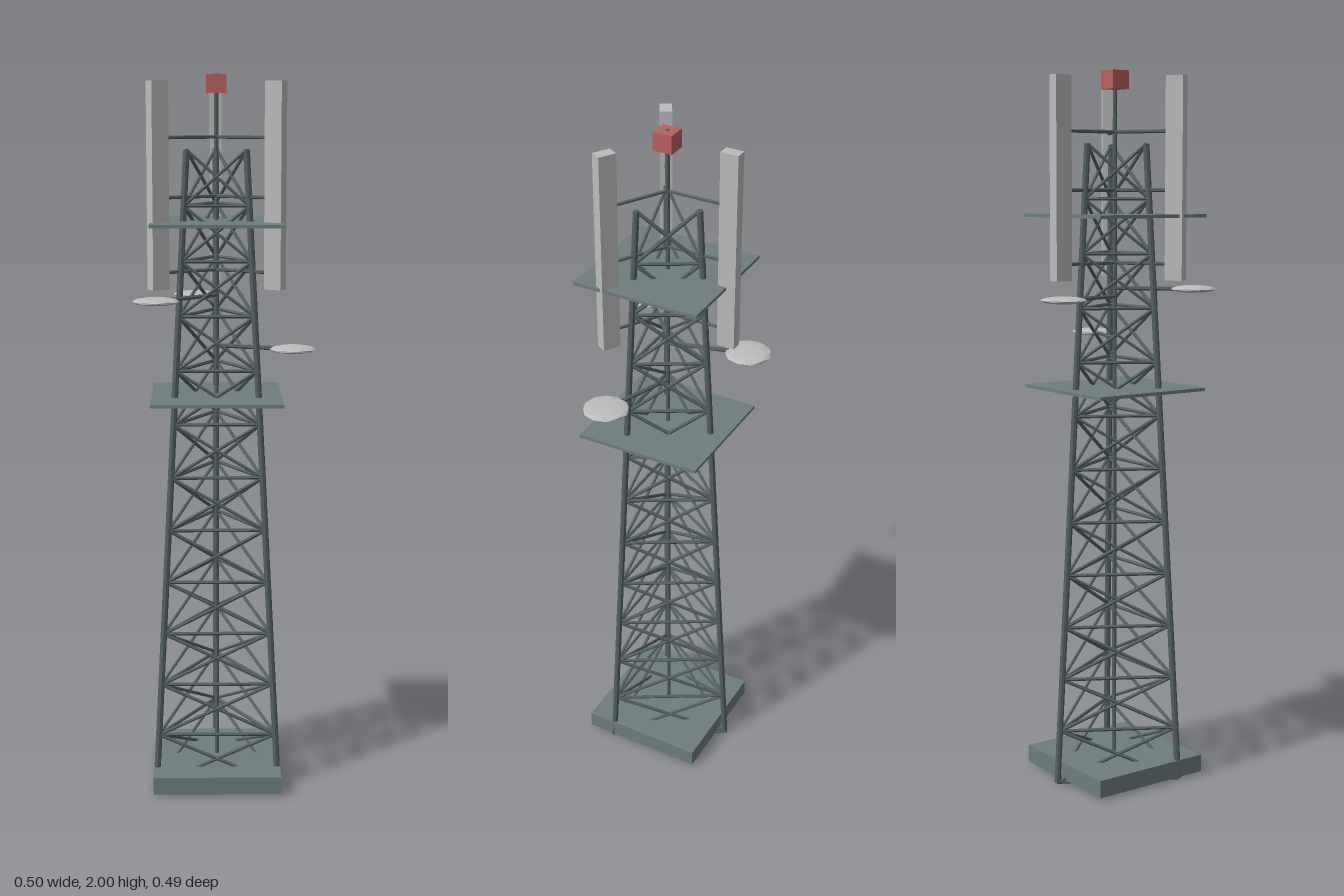
import * as THREE from 'three';

const mat = (name, color) => {
  const m = new THREE.MeshStandardMaterial({ color, flatShading: true });
  m.name = name;
  return m;
};

export function createModel() {
  const steel = mat('dark steel', 0x556163);
  const deck = mat('grey deck', 0x6e7d7e);
  const pale = mat('pale grey', 0xbcbcbc);
  const red = mat('beacon red', 0xb8625e);

  const model = new THREE.Group();
  model.name = 'latticeTower';
  // everything is arranged around the mast axis
  const tower = new THREE.Group();
  tower.name = 'tower';
  tower.position.set(-0.023, 0, 0.031);
  model.add(tower);

  const add = (name, geo, material, x = 0, y = 0, z = 0) => {
    const mesh = new THREE.Mesh(geo, material);
    mesh.name = name;
    mesh.position.set(x, y, z);
    tower.add(mesh);
    return mesh;
  };
  // round bar between two points
  const up = new THREE.Vector3(0, 1, 0);
  const bar = (name, a, b, r, sides = 6) => {
    const d = b.clone().sub(a);
    const mesh = add(name, new THREE.CylinderGeometry(r, r, d.length(), sides), steel);
    mesh.position.copy(a).add(b).multiplyScalar(0.5);
    mesh.quaternion.setFromUnitVectors(up, d.normalize());
  };
  const polar = (deg, r, y) => {
    const a = THREE.MathUtils.degToRad(deg);
    return new THREE.Vector3(Math.cos(a) * r, y, Math.sin(a) * r);
  };

  // three tapering legs: two at the front corners, one at the back
  const angles = [30, 150, 270];
  const Y0 = 0.008, Y1 = 1.8, BAYS = 12;
  const legPoint = (i, t) =>
    polar(angles[i % 3], THREE.MathUtils.lerp(0.2, 0.093, t), THREE.MathUtils.lerp(Y0, Y1, t));
  for (let i = 0; i < 3; i++) {
    bar('leg', legPoint(i, 0), legPoint(i, 1), 0.009, 8);
    // a horizontal and crossed braces in each bay of each face
    for (let k = 0; k < BAYS; k++) {
      const t = k / BAYS, u = (k + 1) / BAYS;
      bar('horizontalBrace', legPoint(i, t), legPoint(i + 1, t), 0.005);
      bar('crossBrace', legPoint(i, t), legPoint(i + 1, u), 0.0048);
      bar('crossBrace', legPoint(i + 1, t), legPoint(i, u), 0.0048);
    }
  }

  // base slab and two platforms
  add('baseSlab', new THREE.BoxGeometry(0.36, 0.05, 0.36), deck, 0, 0.037, 0);
  for (const y of [1.125, 1.605])
    add('platform', new THREE.BoxGeometry(0.36, 0.009, 0.36), deck, 0, y, 0);

  // central mast and beacon
  bar('mast', new THREE.Vector3(0, 0.02, 0), new THREE.Vector3(0, 2, 0), 0.006, 8);
  add('beacon', new THREE.BoxGeometry(0.054, 0.05, 0.054), red, 0, 1.973, 0);

  // panel antennas on radial arms
  for (const deg of angles) {
    const p = polar(deg, 0.181, 1.705);
    const panel = add('panelAntenna', new THREE.BoxGeometry(0.05, 0.55, 0.032), pale, p.x, p.y, p.z);
    panel.rotation.y = -THREE.MathUtils.degToRad(deg);
    for (const y of [1.475, 1.675, 1.833])
      bar('antennaArm', polar(deg, 0, y), polar(deg, 0.175, y), 0.005);
  }

  // flattened faceted dishes on arms
  for (const [deg, y] of [[20, 1.265], [137.5, 1.405], [255, 1.382]]) {
    const p = polar(deg, 0.221, y);
    const dish = add('dish', new THREE.IcosahedronGeometry(0.064, 1), pale, p.x, p.y, p.z);
    dish.scale.y = 0.16;
    bar('dishArm', polar(deg, 0, y), polar(deg, 0.2, y), 0.006);
  }
  return model;
}
